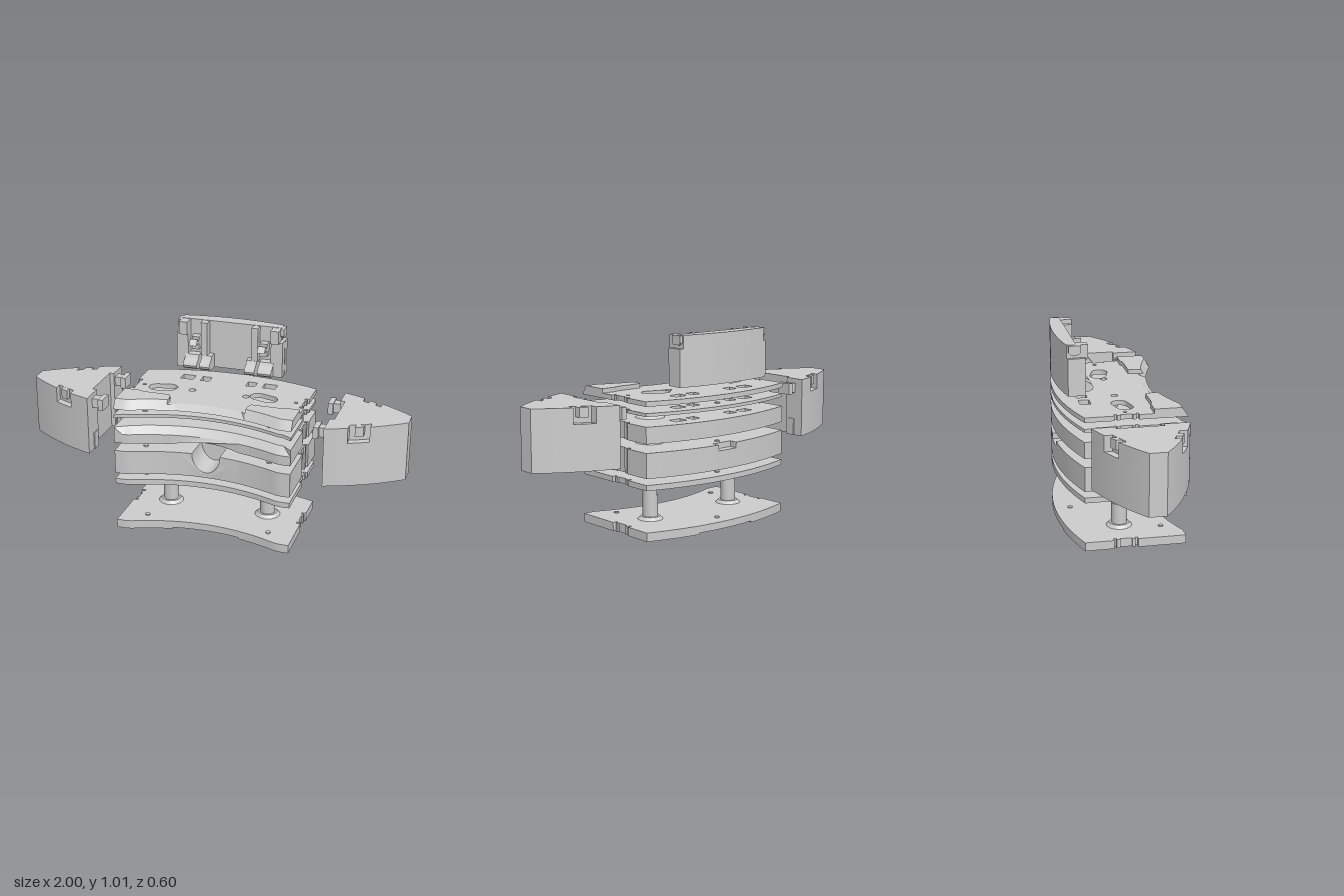
import * as THREE from 'three';
import { toCreasedNormals } from 'three/addons/utils/BufferGeometryUtils.js';

const mat = new THREE.MeshStandardMaterial({ color: 0xcccccc, side: THREE.DoubleSide });
const W = 0.465, MID = 0.18, CUT = 0.05;
const POSTS = [-0.27, 0.27];

// Concave front edge and convex back edge of every layer
const frontZ = (x) => 0.21 + 0.085 * Math.min(1, Math.abs(x) / 0.4) ** 2;
const backZ = (x) => -0.3 + 0.08 * (x / W) ** 2;
const range = (a, b, n) => Array.from({ length: n + 1 }, (_, i) => a + (b - a) * i / n);

function add(parent, name, geo) {
  const mesh = new THREE.Mesh(toCreasedNormals(geo, 0.5), mat);
  mesh.name = name;
  parent.add(mesh);
  return mesh;
}

function box(parent, name, x0, x1, y0, y1, z0, z1) {
  const geo = new THREE.BoxGeometry(Math.abs(x1 - x0), y1 - y0, Math.abs(z1 - z0));
  return add(parent, name, geo.translate((x0 + x1) / 2, (y0 + y1) / 2, (z0 + z1) / 2));
}

// Extrudes a plan outline of [x, z] points upward from y0 to y1;
// recess(x) slopes the front edge back towards the top
function slab(parent, name, pts, y0, y1, holes = [], recess = null) {
  const toV = (p) => p.map(([x, z]) => new THREE.Vector2(x, -z));
  const shape = new THREE.Shape(toV(pts));
  shape.holes = holes.map((h) => new THREE.Path(toV(h)));
  const geo = new THREE.ExtrudeGeometry(shape, { depth: y1 - y0, bevelEnabled: false });
  geo.rotateX(-Math.PI / 2).translate(0, y0, 0);
  if (recess) {
    const p = geo.attributes.position;
    for (let i = 0; i < p.count; i++) {
      const x = p.getX(i), z = p.getZ(i);
      if (p.getY(i) > (y0 + y1) / 2 && z > frontZ(x) - 0.035) p.setZ(i, z - recess(x));
    }
    geo.computeVertexNormals();
  }
  return add(parent, name, geo);
}

// Capsule (or circle) between two points
function capsule(ax, az, bx, bz, r) {
  const a0 = Math.atan2(bz - az, bx - ax);
  const arc = (x, z, s) => range(s, s + Math.PI, 14).map((a) => [x + r * Math.cos(a), z + r * Math.sin(a)]);
  return [...arc(bx, bz, a0 - Math.PI / 2), ...arc(ax, az, a0 + Math.PI / 2)];
}
const circle = (x, z, r) => range(0, 2 * Math.PI * 27 / 28, 27).map((a) => [x + r * Math.cos(a), z + r * Math.sin(a)]);
const rect = (x0, x1, z0, z1) => [[x0, z0], [x1, z0], [x1, z1], [x0, z1]];

// Shared layer outline with notched ends
function outline({ offset = () => 0, cut = false, backNotch = false } = {}) {
  let front = [-W, ...range(-0.42, -MID, 8), ...range(-0.15, 0.15, 10), ...range(MID, 0.42, 8), W]
    .map((x) => [x, frontZ(x) - offset(x)]);
  if (cut) {
    front = front.filter(([x]) => Math.abs(x) > MID - 0.001);
    front.splice(front.length / 2, 0, [-MID, CUT], [MID, CUT]);
  }
  const end = [[W, 0.05], [0.442, 0.05], [0.442, 0.036], [0.458, 0.036], [0.458, 0.02], [0.448, 0.02],
    [0.448, -0.04], [0.458, -0.04], [0.458, -0.059], [0.442, -0.059], [0.442, -0.072], [W, -0.072]];
  let back = range(W, -W, 24).map((x) => [x, backZ(x)]);
  if (backNotch) {
    back = back.filter(([x]) => Math.abs(x) > 0.07);
    back.splice(back.length / 2, 0, [0.06, backZ(0.06)], [0.06, -0.255], [-0.06, -0.255], [-0.06, backZ(0.06)]);
  }
  return [...front, ...end, ...back, ...end.map(([x, z]) => [-x, z]).reverse()];
}

// Middle front part of a layer: elevation of [x, y] points, its front following the concave edge
function frontBlock(parent, name, pts) {
  const shape = new THREE.Shape(pts.map(([x, y]) => new THREE.Vector2(x, y)));
  const geo = new THREE.ExtrudeGeometry(shape, { depth: 1, bevelEnabled: false });
  const p = geo.attributes.position;
  for (let i = 0; i < p.count; i++) p.setZ(i, p.getZ(i) > 0.5 ? frontZ(p.getX(i)) : CUT);
  geo.computeVertexNormals();
  add(parent, name, geo);
}

function pins(parent, y) {
  for (const [x, z] of [[-0.33, 0.195], [0.33, 0.195], [0, -0.22]])
    slab(parent, 'locatingPin', circle(x, z, 0.013), y, y + 0.006);
}

function collars(parent, y, inner, outer, h) {
  for (const x of POSTS) {
    const pts = [[inner, 0], [outer, 0], [outer - 0.015, h], [inner, h], [inner, 0]];
    const geo = new THREE.LatheGeometry(pts.map(([r, t]) => new THREE.Vector2(r, t)), 32);
    add(parent, 'collar', geo.translate(x, y, -0.01));
  }
}

function addLayers(root) {
  const layer = (name) => { const g = new THREE.Group(); g.name = name; root.add(g); return g; };
  const postHoles = (r) => POSTS.map((x) => circle(x, -0.01, r));
  const slots = [-1, 1].flatMap((s) => [rect(s * 0.1, s * 0.15, -0.205, -0.15), rect(s * 0.19, s * 0.26, -0.205, -0.15)]);

  // Base with two notched posts and a shallow channel below
  const base = layer('basePlate');
  slab(base, 'basePlateBody', outline(), 0.008, 0.045);
  const half = outline().filter(([x]) => x > MID - 0.001);
  half.push([MID, backZ(MID)]);
  for (const s of [-1, 1]) slab(base, 'baseFoot', half.map(([x, z]) => [s * x, z]), 0, 0.008);
  collars(base, 0.045, 0.035, 0.066, 0.016);
  for (const x of POSTS) {
    const round = circle(x, -0.01, 0.04);
    slab(base, 'post', round, 0.045, 0.17);
    slab(base, 'postNeck', round.map(([a, z]) => [Math.max(a, x - 0.016), z]), 0.17, 0.207);
    slab(base, 'postHead', round, 0.207, 0.225);
  }
  pins(base, 0.045);

  // Thin lower sheet
  const lower = layer('lowerSheet');
  slab(lower, 'lowerSheetBody', outline(), 0.257, 0.285, postHoles(0.06));
  pins(lower, 0.285);

  // Thick core with a round front bore and a back notch
  const core = layer('coreBlock');
  slab(core, 'coreLower', outline({ cut: true }), 0.317, 0.415, postHoles(0.045));
  slab(core, 'coreUpper', outline({ cut: true, backNotch: true }), 0.415, 0.445, postHoles(0.045));
  const bore = range(0, Math.PI, 20).map((a) => [0.075 * Math.cos(a), 0.445 - 0.1 * Math.sin(a)]);
  frontBlock(core, 'boreBlock', [...range(-MID, MID, 12).map((x) => [x, 0.317]),
    [MID, 0.445], [0.13, 0.445], ...bore, [-0.13, 0.445], [-MID, 0.445]]);
  collars(core, 0.445, 0.045, 0.075, 0.016);
  pins(core, 0.445);

  // Upper block with a bevelled front and a shallow arch beneath
  const upper = layer('upperBlock');
  const holes4 = [...postHoles(0.045), ...slots];
  slab(upper, 'upperBlockLower', outline({ cut: true }), 0.49, 0.54, holes4);
  frontBlock(upper, 'archBlock', [...range(-MID, MID, 16).map((x) => [x, 0.49 + 0.022 * (1 - (x / MID) ** 2)]),
    ...range(MID, -MID, 16).map((x) => [x, 0.54])]);
  slab(upper, 'upperBlockBevel', outline(), 0.54, 0.575, holes4, (x) => Math.abs(x) < 0.43 ? 0.04 : 0);
  collars(upper, 0.575, 0.045, 0.075, 0.014);

  // Thin upper sheet
  const sheet = layer('upperSheet');
  const inset = (x) => Math.abs(x) < 0.43 ? 0.025 : 0;
  slab(sheet, 'upperSheetBody', outline({ offset: inset }), 0.625, 0.642, [...postHoles(0.075), ...slots]);
  for (const x of [-0.145, 0.145]) slab(sheet, 'peg', circle(x, -0.01, 0.015), 0.642, 0.655);
  pins(sheet, 0.642);

  // Top plate with keyholes and two raised front wings
  const top = layer('topPlate');
  const keyholes = [capsule(-0.27, -0.01, -0.335, 0.005, 0.042), capsule(0.27, -0.01, 0.205, -0.03, 0.042)];
  const small = [-1, 1].flatMap((s) => [circle(s * 0.145, -0.01, 0.018), circle(s * 0.41, -0.01, 0.01)]);
  slab(top, 'topPlateBody', outline(), 0.675, 0.7, [...keyholes, ...small, ...slots],
    (x) => Math.abs(x) < 0.2 ? 0.043 : 0.016);
  for (const s of [-1, 1]) {
    const edge = range(0.205, W, 8).map((x) => [x, frontZ(x) - 0.016]);
    const wing = [...edge, [W, 0.125], [0.38, 0.125], [0.36, 0.135], [0.215, 0.135], [0.205, 0.17]];
    slab(top, 'raisedWing', wing.map(([x, z]) => [s * x, z]), 0.7, 0.723, [], (x) => Math.abs(x) > 0.19 ? 0.015 : 0);
  }
}

// Pointed end block with side pockets and two T-shaped connectors
function addEndBlock(root, s) {
  const g = new THREE.Group();
  g.name = s > 0 ? 'leftEndBlock' : 'rightEndBlock';
  root.add(g);
  const at = (t, a, c, b) => (1 - t) ** 2 * a + 2 * t * (1 - t) * c + t * t * b;
  const side = (t, f) => [at(t, 0.62, 0.835, 1), f ? at(t, 0.265, 0.195, 0.065) : at(t, -0.215, -0.145, -0.02)];
  const T0 = 0.264, T1 = 0.52;
  const edge = (f, notched) => {
    const pts = [...range(0, T0, 4), ...range(T0, T1, 5), ...range(T1, 1, 7)].map((t) => side(t, f));
    if (notched) for (let i = 5; i <= 10; i++) pts[i][1] += f ? -0.04 : 0.04;
    return pts;
  };
  const plan = (notched) => [...edge(true, notched), ...edge(false, notched).reverse(),
    [0.62, -0.1], [0.643, -0.1], [0.643, 0.135], [0.62, 0.135]].map(([x, z]) => [s * x, z]);
  slab(g, 'endBlockBody', plan(false), 0.39, 0.62);
  slab(g, 'endBlockTop', plan(true), 0.62, 0.7);
  box(g, 'innerRib', s * 0.614, s * 0.63, 0.39, 0.48, 0.15, 0.2);
  box(g, 'innerRib', s * 0.614, s * 0.63, 0.39, 0.48, -0.16, -0.115);
  for (const f of [true, false]) {
    const [a, b] = [side(0.34, f), side(0.44, f)], d = f ? -1 : 1;
    const tab = [[a[0], a[1] + d * 0.01], [b[0], b[1] + d * 0.01], [b[0], b[1] + d * 0.045], [a[0], a[1] + d * 0.045]];
    slab(g, 'pocketTab', tab.map(([x, z]) => [s * x, z]), 0.65, 0.699);
  }
  for (const z of [-0.14, 0.177]) {
    box(g, 'connectorStem', s * 0.58, s * 0.65, 0.625, 0.675, z - 0.025, z + 0.025);
    box(g, 'connectorHead', s * 0.555, s * 0.582, 0.62, 0.68, z - 0.042, z + 0.042);
  }
}

// Curved back cover with feet, hooks and end latches
function addBackCover(root) {
  const g = new THREE.Group();
  g.name = 'backCover';
  root.add(g);
  const wall = (w) => [[-w, -0.225], [w, -0.225], ...range(w, -w, 18).map((x) => [x, backZ(x)])];
  slab(g, 'coverWall', wall(0.29), 0.755, 0.945);
  slab(g, 'coverWallTop', wall(0.272), 0.945, 1.012);
  // Profiles are [z, y] points swept sideways
  const sweep = (name, pts, x0, x1) => {
    const shape = new THREE.Shape(pts.map(([z, y]) => new THREE.Vector2(-z, y)));
    const geo = new THREE.ExtrudeGeometry(shape, { depth: Math.abs(x1 - x0), bevelEnabled: false });
    add(g, name, geo.rotateY(Math.PI / 2).translate(Math.min(x0, x1), 0, 0));
  };
  const foot = [[-0.23, 0.755], [-0.18, 0.755], [-0.155, 0.76], [-0.138, 0.77], [-0.134, 0.782],
    [-0.142, 0.796], [-0.17, 0.812], [-0.18, 0.83], [-0.23, 0.83]];
  const hook = [[-0.19, 0.895], [-0.13, 0.895], [-0.155, 0.925], [-0.168, 0.91], [-0.19, 0.91]];
  for (const s of [-1, 1]) {
    box(g, 'endRib', s * 0.225, s * 0.288, 0.755, 0.945, -0.23, -0.181);
    box(g, 'endRibTop', s * 0.225, s * 0.27, 0.94, 1.01, -0.23, -0.166);
    box(g, 'innerRib', s * 0.12, s * 0.155, 0.83, 1.01, -0.23, -0.181);
    box(g, 'hookRib', s * 0.165, s * 0.205, 0.86, 0.93, -0.23, -0.181);
    sweep('foot', foot, s * 0.095, s * 0.15);
    sweep('foot', foot, s * 0.165, s * 0.24);
    sweep('hook', hook, s * 0.165, s * 0.205);
    const latch = [[-0.205, 1.01], [-0.205, 0.975], [-0.215, 0.963], [-0.255, 0.963], [-0.265, 0.975], [-0.265, 1.01]];
    sweep('latch', latch, s * 0.26, s * 0.287);
  }
}

export function createModel() {
  const root = new THREE.Group();
  root.name = 'explodedAssembly';
  addLayers(root);
  addEndBlock(root, 1);
  addEndBlock(root, -1);
  addBackCover(root);
  return root;
}
